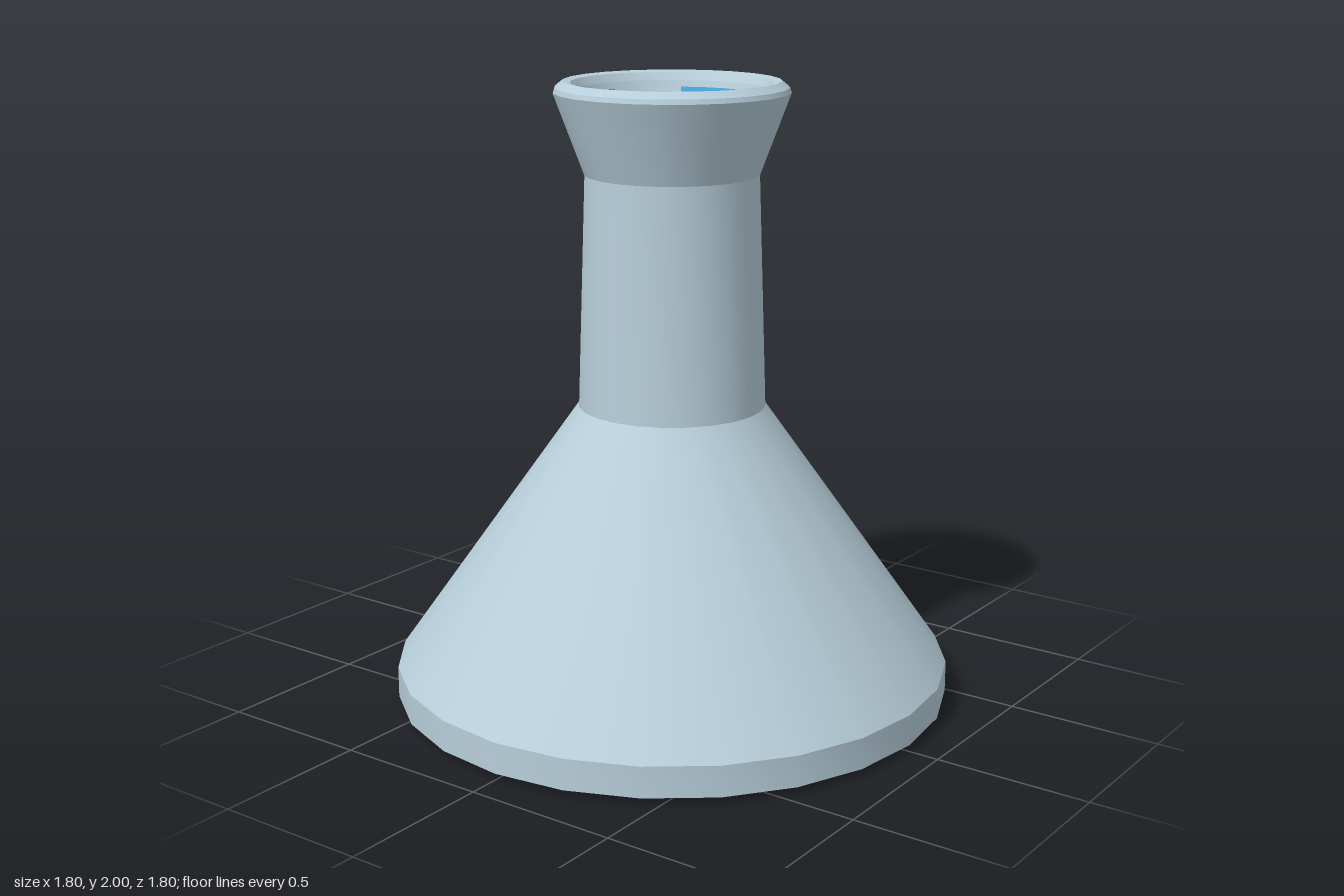
import * as THREE from 'three';
import { toCreasedNormals } from 'three/addons/utils/BufferGeometryUtils.js';

const SIDES = 24;

// Spin a [radius, height] profile around the y axis, keeping strong edges sharp
function turned(name, profile, material, fromDeg = 0, sweepDeg = 360) {
  const points = profile.map(([r, y]) => new THREE.Vector2(r, y));
  const lathe = new THREE.LatheGeometry(
    points,
    Math.round((SIDES * sweepDeg) / 360),
    THREE.MathUtils.degToRad(fromDeg),
    THREE.MathUtils.degToRad(sweepDeg)
  );
  const mesh = new THREE.Mesh(toCreasedNormals(lathe, 0.33), material);
  mesh.name = name;
  return mesh;
}

export function createModel() {
  const glass = new THREE.MeshStandardMaterial({ color: 0xb7ceda });
  glass.name = 'pale glass';
  const blue = new THREE.MeshStandardMaterial({ color: 0x48a6da });
  blue.name = 'blue liquid';

  const flask = new THREE.Group();
  flask.name = 'flask';

  // Outer wall: shallow base, foot, cone, neck and flared lip
  flask.add(turned('outerWall', [
    [0, 0], [0.9, 0.02], [0.9, 0.12], [0.3, 0.97],
    [0.275, 1.71], [0.37, 1.965], [0.365, 1.98], [0.34, 2],
  ], glass));

  // Rim rolling over the mouth
  flask.add(turned('rim', [[0.34, 2], [0.315, 1.995], [0.3, 1.97]], glass));

  // Inner wall: funnel mouth, bore and hollow cone
  flask.add(turned('innerWall', [
    [0.3, 1.97], [0.205, 1.7], [0.205, 0.97], [0.8, 0.12], [0, 0.1],
  ], glass));

  // Liquid in the cone, with a flat top
  flask.add(turned('liquid', [[0, 0.11], [0.78, 0.13], [0.44, 0.6], [0, 0.6]], blue));

  // Liquid streaks clinging to the inside of the mouth
  for (const [from, sweep] of [[-30, 60], [75, 45], [165, 45], [240, 60]]) {
    flask.add(turned('mouthStreak', [[0.29, 1.95], [0.248, 1.83]], blue, from, sweep));
  }

  return flask;
}
